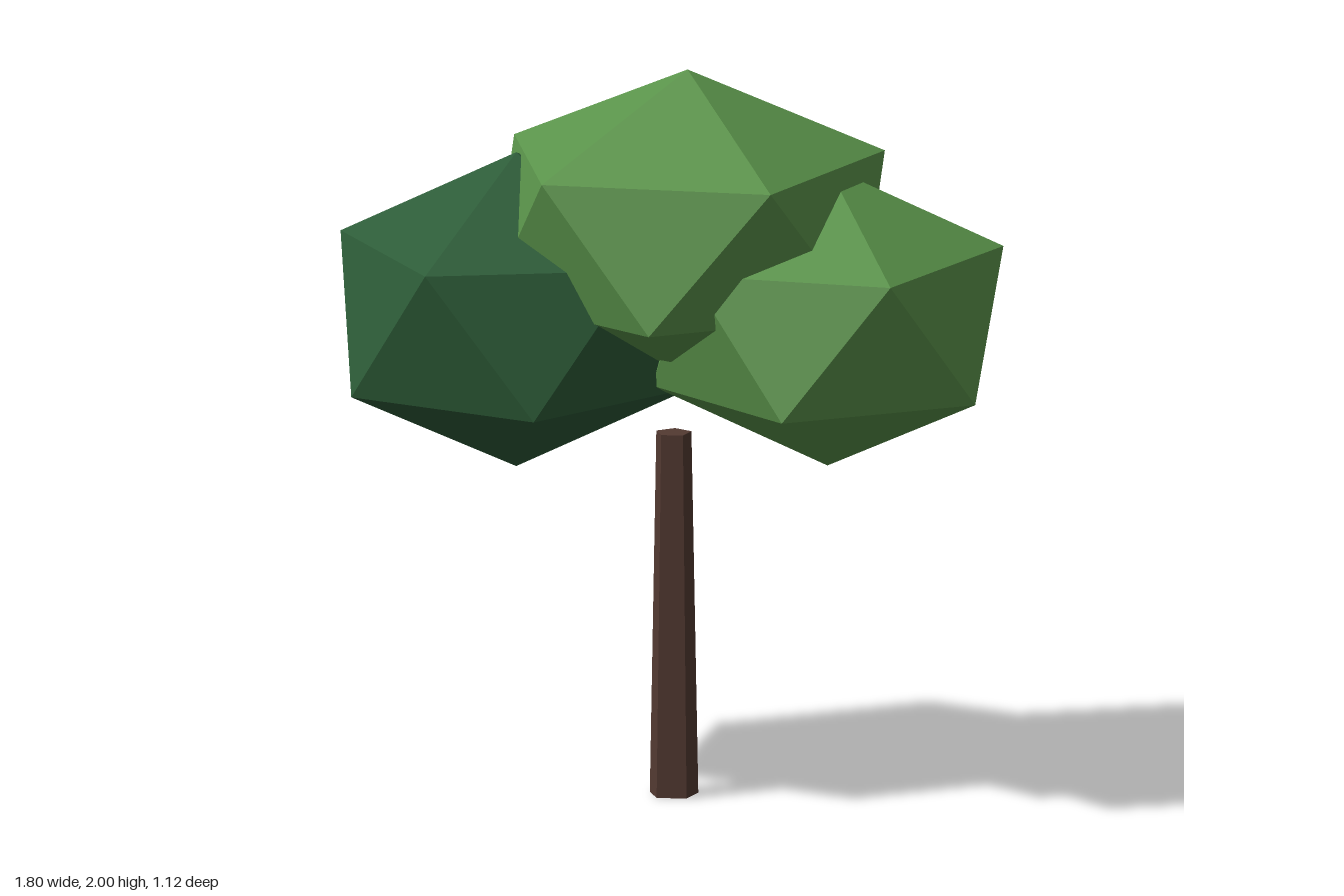
import * as THREE from 'three';

const material = (name, color) => {
  const m = new THREE.MeshStandardMaterial({ color, flatShading: true });
  m.name = name;
  return m;
};

// Icosahedron standing on a vertex; ringAngle (degrees, x towards z) places an upper-ring corner,
// and rx, rz are the radii of the two five-cornered rings.
function foliage(name, mat, [x, y, z], rx, ry, rz, ringAngle) {
  const ring = 2 / Math.sqrt(5);
  const geometry = new THREE.IcosahedronGeometry(1, 0);
  geometry.rotateZ(Math.atan(2 / (1 + Math.sqrt(5))));
  geometry.rotateY(THREE.MathUtils.degToRad(180 - ringAngle));
  geometry.scale(rx / ring, ry, rz / ring);
  const mesh = new THREE.Mesh(geometry, mat);
  mesh.name = name;
  mesh.position.set(x, y, z);
  return mesh;
}

export function createModel() {
  const bark = material('bark brown', 0x533a32);
  const lightLeaf = material('light leaf green', 0x5a934a);
  const darkLeaf = material('dark leaf green', 0x2d5c38);

  const tree = new THREE.Group();
  tree.name = 'tree';

  // Tapered five-sided trunk with a flat side to the front
  const trunk = new THREE.Mesh(new THREE.CylinderGeometry(0.05, 0.069, 1, 5), bark);
  trunk.name = 'trunk';
  trunk.rotation.y = Math.PI;
  trunk.position.set(0.01, 0.5, 0.015);
  tree.add(trunk);

  // Three overlapping crowns
  tree.add(
    foliage('topCrown', lightLeaf, [0.047, 1.57, 0], 0.536, 0.43, 0.537, -11.7),
    foliage('leftCrown', lightLeaf, [0.43, 1.337, 0.047], 0.475, 0.414, 0.521, -8.4),
    foliage('rightCrown', darkLeaf, [-0.42, 1.32, -0.037], 0.485, 0.434, 0.535, 187)
  );
  return tree;
}
